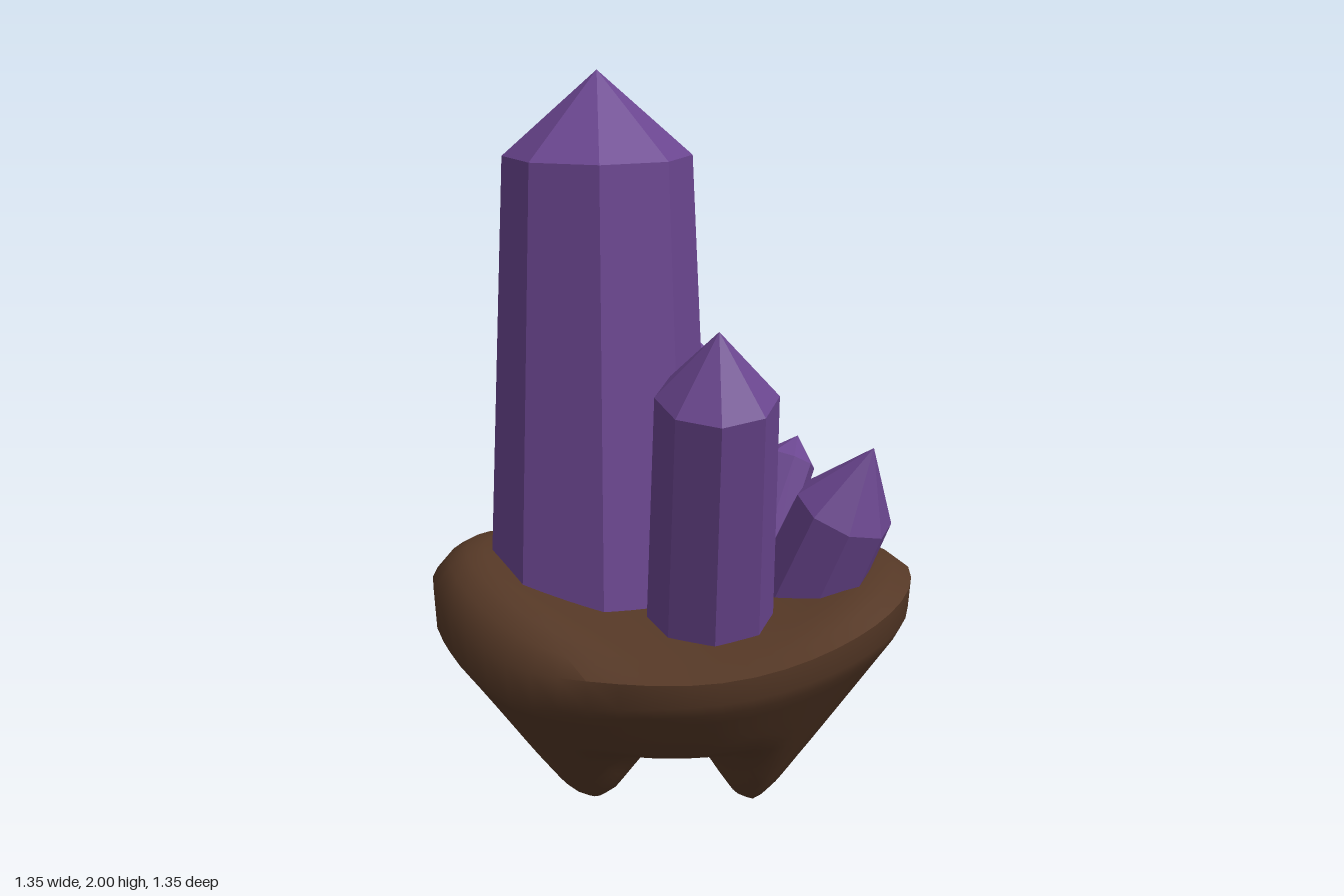
import * as THREE from 'three';
import { toCreasedNormals } from 'three/addons/utils/BufferGeometryUtils.js';

const purple = new THREE.MeshStandardMaterial({ color: 0x6b4690, flatShading: true });
const brown = new THREE.MeshStandardMaterial({ color: 0x553826 });

// Eight-sided tapered crystal running from a base centre to a shoulder and a tip
function crystal(name, base, shoulder, tipHeight, baseRadius, shoulderRadius) {
  const from = new THREE.Vector3(...base);
  const axis = new THREE.Vector3(...shoulder).sub(from);
  const length = axis.length();
  const profile = [
    [0, -0.04], [baseRadius, -0.04], [shoulderRadius, length], [0, length + tipHeight],
  ].map(([r, y]) => new THREE.Vector2(r, y));
  const mesh = new THREE.Mesh(new THREE.LatheGeometry(profile, 8), purple);
  mesh.name = name;
  mesh.position.copy(from);
  mesh.quaternion.setFromUnitVectors(new THREE.Vector3(0, 1, 0), axis.normalize());
  return mesh;
}

// Outline of the rock in plan
const rimRadius = (a) => 0.66 + 0.013 * Math.cos(4 * a);

// Weight that peaks at one bearing around the rim
const near = (a, bearing) => Math.exp(-Math.pow((a - bearing) / 0.4, 2));

// Saddle-shaped top that rolls off at the sides and at two worn corners
function topHeight(x, z, a, k) {
  const t = Math.max(0, (k - 0.79) / 0.21);
  const c = Math.cos(a);
  const drop = 0.11 * c * c - 0.025 * c + 0.05 * near(a, 2.35) + 0.06 * near(a, 5.6);
  return 0.592 + 0.27 * x * x - 0.035 * x - 0.14 * z * z - drop * t * t;
}

// Hanging lumps: x, z, depth, width
const lumps = [
  [0.25, 0.19, 0.215, 0.15],
  [-0.26, 0.19, 0.19, 0.15],
  [-0.26, -0.26, 0.195, 0.15],
  [0.21, -0.2, 0.06, 0.11],
];

// Sloping outer wall blended into a raised hollow with lumps drawn out towards the wall
function bottomHeight(x, z, a, k) {
  const c = Math.cos(a);
  const rim = 0.465 + 0.035 * c * c + 0.015 * c - 0.07 * near(a, 2.35) * Math.pow(k, 4);
  const wall = rim - 0.96 * (1 - k);
  let hollow = 0.175 + 0.3 * (x * x + z * z);
  for (const [lx, lz, depth, width] of lumps) {
    const l = Math.hypot(lx, lz);
    const dx = x - lx, dz = z - lz;
    const u = (dx * lx + dz * lz) / l, v = (dx * lz - dz * lx) / l;
    const d = Math.hypot(u > 0 ? u * 0.45 : u, v) / width;
    hollow -= depth * Math.exp(-Math.pow(d, 3));
  }
  const blended = (wall + hollow + Math.sqrt((wall - hollow) ** 2 + 0.0008)) / 2;
  return Math.max(0, blended);
}

// Rock skin: rings from the top centre out to the rim, then back in underneath
function rockGeometry() {
  const segments = 48, topRings = 14, bottomRings = 30;
  const position = [], index = [];
  const rings = topRings + bottomRings + 2;
  for (let i = 0; i < rings; i++) {
    const top = i <= topRings;
    const k = top ? i / topRings : 1 - (i - topRings - 1) / bottomRings;
    for (let j = 0; j < segments; j++) {
      const a = (j / segments) * Math.PI * 2;
      const r = k * rimRadius(a) * (!top && k === 1 ? 0.99 : 1);
      const x = r * Math.cos(a), z = r * Math.sin(a);
      position.push(x, top ? topHeight(x, z, a, k) : bottomHeight(x, z, a, k), z);
      if (i < rings - 1) {
        const p = i * segments + j, q = i * segments + ((j + 1) % segments);
        if (i > 0) index.push(p, q, p + segments);
        if (i < rings - 2) index.push(q, q + segments, p + segments);
      }
    }
  }
  const geometry = new THREE.BufferGeometry();
  geometry.setAttribute('position', new THREE.Float32BufferAttribute(position, 3));
  geometry.setIndex(index);
  return toCreasedNormals(geometry, 0.95);
}

export function createModel() {
  const model = new THREE.Group();
  model.name = 'crystalCluster';

  const rock = new THREE.Mesh(rockGeometry(), brown);
  rock.name = 'rock';
  model.add(rock);

  model.add(
    crystal('mainCrystal', [-0.2, 0.58, 0], [-0.2, 1.775, 0], 0.225, 0.311, 0.255),
    crystal('frontCrystal', [0.083, 0.57, 0.31], [0.083, 1.225, 0.5], 0.182, 0.17, 0.157),
    crystal('backCrystal', [0.105, 0.57, -0.315], [0.105, 1.035, -0.402], 0.148, 0.177, 0.167),
    crystal('leftCrystal', [0.368, 0.585, 0.11], [0.458, 0.835, 0.185], 0.204, 0.147, 0.138),
    crystal('smallLeftCrystal', [0.235, 0.6, -0.053], [0.35, 0.88, -0.175], 0.075, 0.08, 0.077),
    crystal('smallBackCrystal', [-0.14, 0.6, -0.34], [-0.228, 0.87, -0.478], 0.075, 0.085, 0.077),
  );
  return model;
}
